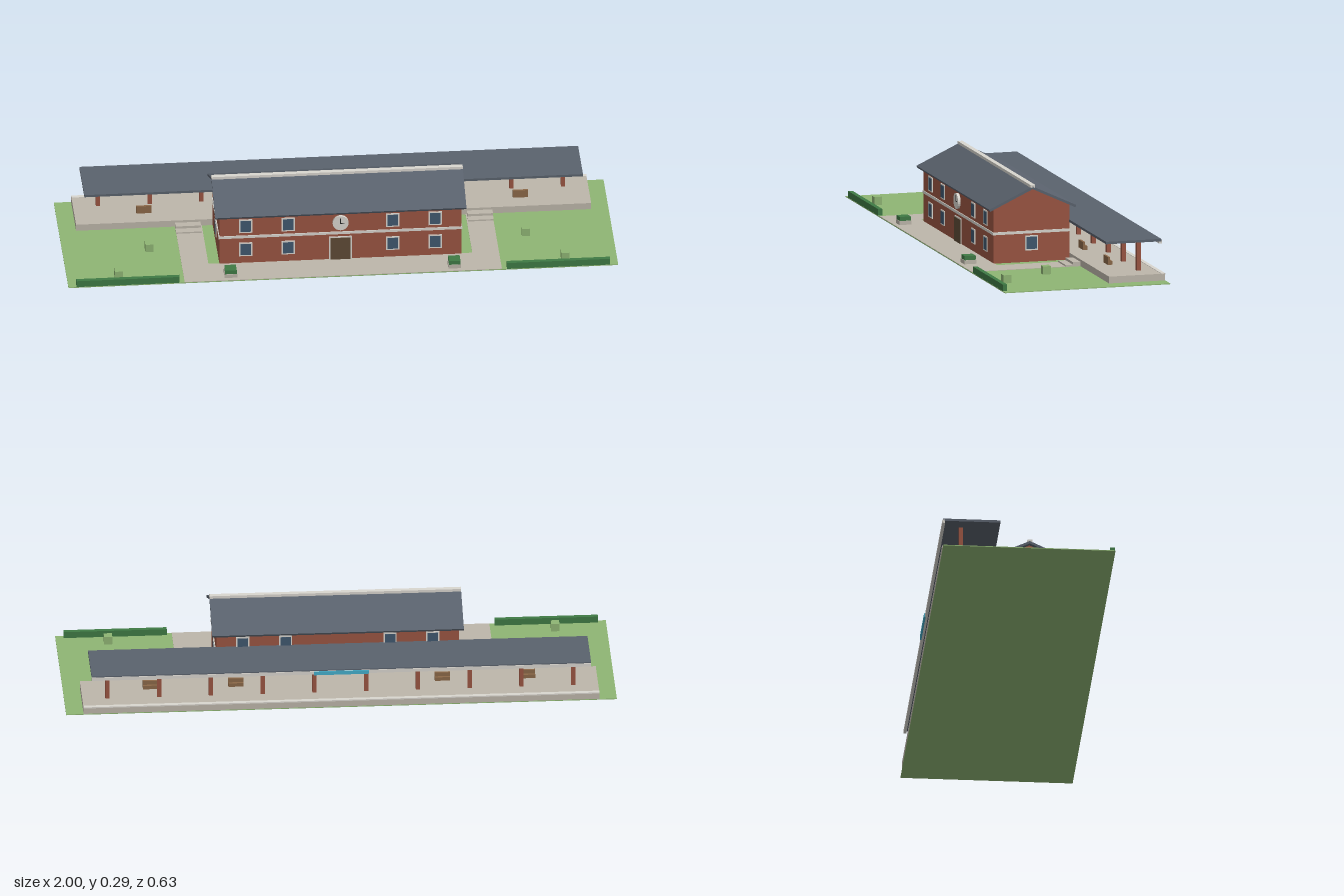
import * as THREE from 'three';

const mat = (color) => new THREE.MeshStandardMaterial({ color, flatShading: true });
const M = {
  brick: mat(0x9a5542), trim: mat(0xd9d6cf), glass: mat(0x40586f), roof: mat(0x5a626d),
  grass: mat(0x8fb574), paving: mat(0xbdb6aa), hedge: mat(0x3f7a45), shrub: mat(0x8fb574),
  wood: mat(0x8b6848), door: mat(0x5f4b36), sign: mat(0x45aecb), dark: mat(0x2b2b2b),
};

export function createModel() {
  const root = new THREE.Group();

  // box from its limits on each axis
  const box = (name, m, [x0, x1], [y0, y1], [z0, z1], parent = root) => {
    const mesh = new THREE.Mesh(new THREE.BoxGeometry(x1 - x0, y1 - y0, z1 - z0), m);
    mesh.position.set((x0 + x1) / 2, (y0 + y1) / 2, (z0 + z1) / 2);
    mesh.name = name;
    parent.add(mesh);
    return mesh;
  };
  const around = (c, w) => [c - w / 2, c + w / 2];

  // cross-section in (z, y), extruded along x and centred
  const midZ = 0.044;
  const alongX = (name, m, points, length) => {
    const geo = new THREE.ExtrudeGeometry(
      new THREE.Shape(points.map(([u, y]) => new THREE.Vector2(u, y))),
      { depth: length, bevelEnabled: false });
    geo.translate(0, 0, -length / 2).rotateY(Math.PI / 2);
    const mesh = new THREE.Mesh(geo, m);
    mesh.position.z = midZ;
    mesh.name = name;
    root.add(mesh);
  };

  // grounds
  box('lawn', M.grass, [-1, 1], [0, 0.003], [-0.313, 0.313]);
  box('forecourt', M.paving, [-0.577, 0.577], [0.001, 0.0045], [0.185, 0.312]);
  box('platform', M.paving, [-0.937, 0.937], [0.001, 0.028], [-0.312, -0.1]);
  box('platformEdge', M.trim, [-0.937, 0.937], [0.025, 0.0295], [-0.313, -0.298]);

  // brick hall with gabled ends
  alongX('hall', M.brick,
    [[-0.144, 0.002], [0.144, 0.002], [0.144, 0.207], [0, 0.275], [-0.144, 0.207]], 0.88);
  alongX('roof', M.roof,
    [[-0.165, 0.206], [-0.161, 0.198], [0, 0.273], [0.161, 0.198], [0.165, 0.206], [0, 0.283]], 0.914);
  box('ridgeCap', M.trim, [-0.457, 0.457], [0.278, 0.289], around(midZ, 0.018));
  box('stringCourse', M.trim, [-0.443, 0.443], [0.108, 0.118], [-0.103, 0.191]);

  // window facing +z in its own group, then turned to its wall
  const opening = (name, x, y, z, turn, w, h, filling) => {
    const g = new THREE.Group();
    g.name = name;
    box('frame', M.trim, around(0, w), around(0, h), [-0.002, 0.003], g);
    box('panel', filling, around(0, w - 0.01), around(0, h - 0.01), [0, 0.004], g);
    g.position.set(x, y, z);
    g.rotation.y = turn;
    root.add(g);
    return g;
  };
  for (const x of [-0.345, -0.19, 0.19, 0.345]) {
    for (const y of [0.061, 0.157]) {
      opening('frontWindow', x, y, 0.188, 0, 0.048, 0.055, M.glass);
      opening('backWindow', x, y === 0.157 ? 0.162 : 0.073, -0.1, Math.PI, 0.048, 0.055, M.glass);
    }
  }
  for (const s of [-1, 1]) opening('gableWindow', s * 0.44, 0.073, midZ, s * Math.PI / 2, 0.048, 0.055, M.glass);

  // doors
  box('doorFrame', M.trim, [-0.041, 0.041], [0.003, 0.098], [0.186, 0.191]);
  for (const s of [-1, 1]) box('doorLeaf', M.door, around(s * 0.0185, 0.036), [0.003, 0.093], [0.187, 0.193]);
  box('backDoor', M.door, [-0.035, 0.035], [0.028, 0.098], [-0.104, -0.099]);

  // clock over the front door
  const clock = new THREE.Group();
  clock.name = 'clock';
  const dial = new THREE.Mesh(new THREE.CylinderGeometry(0.029, 0.029, 0.01, 24).rotateX(Math.PI / 2), M.trim);
  dial.name = 'dial';
  clock.add(dial);
  box('minuteHand', M.dark, around(0, 0.003), [-0.002, 0.021], [0.004, 0.0062], clock);
  box('hourHand', M.dark, [-0.002, 0.014], around(0, 0.003), [0.004, 0.006], clock);
  clock.position.set(0, 0.157, 0.193);
  root.add(clock);

  // platform canopy on a row of posts
  box('canopy', M.roof, [-0.907, 0.907], [0.142, 0.151], [-0.307, -0.098]);
  box('canopyFascia', M.trim, [-0.907, 0.907], [0.134, 0.147], [-0.309, -0.299]);
  box('signBoard', M.sign, [-0.1, 0.1], [0.133, 0.147], [-0.313, -0.307]);
  for (let i = 0; i < 10; i++) {
    box('canopyPost', M.brick, around(-0.846 + i * 0.188, 0.015), [0.028, 0.142], around(-0.238, 0.015));
  }

  // benches facing the platform edge
  for (const x of [-0.685, -0.375, 0.375, 0.685]) {
    box('benchBack', M.wood, around(x, 0.055), [0.028, 0.057], [-0.171, -0.163]);
    box('benchSeat', M.wood, around(x, 0.055), [0.028, 0.042], [-0.18, -0.171]);
  }

  // paths, steps and planting on both sides
  for (const s of [-1, 1]) {
    box('sidePath', M.paving, around(s * 0.5285, 0.097), [0.001, 0.0045], [-0.1, 0.185]);
    box('lowerStep', M.paving, around(s * 0.531, 0.093), [0.002, 0.01], [-0.1, -0.044]);
    box('upperStep', M.paving, around(s * 0.531, 0.093), [0.002, 0.019], [-0.1, -0.072]);
    box('hedge', M.hedge, around(s * 0.783, 0.375), [0.002, 0.027], [0.296, 0.3125]);
    box('shrub', M.shrub, around(s * 0.685, 0.03), [0.002, 0.033], around(0.063, 0.03));
    box('shrub', M.shrub, around(s * 0.812, 0.03), [0.002, 0.033], around(0.251, 0.03));
    box('planter', M.paving, around(s * 0.407, 0.046), [0.002, 0.019], around(0.272, 0.046));
    box('planterFoliage', M.hedge, around(s * 0.407, 0.042), [0.018, 0.034], around(0.272, 0.042));
  }
  return root;
}
